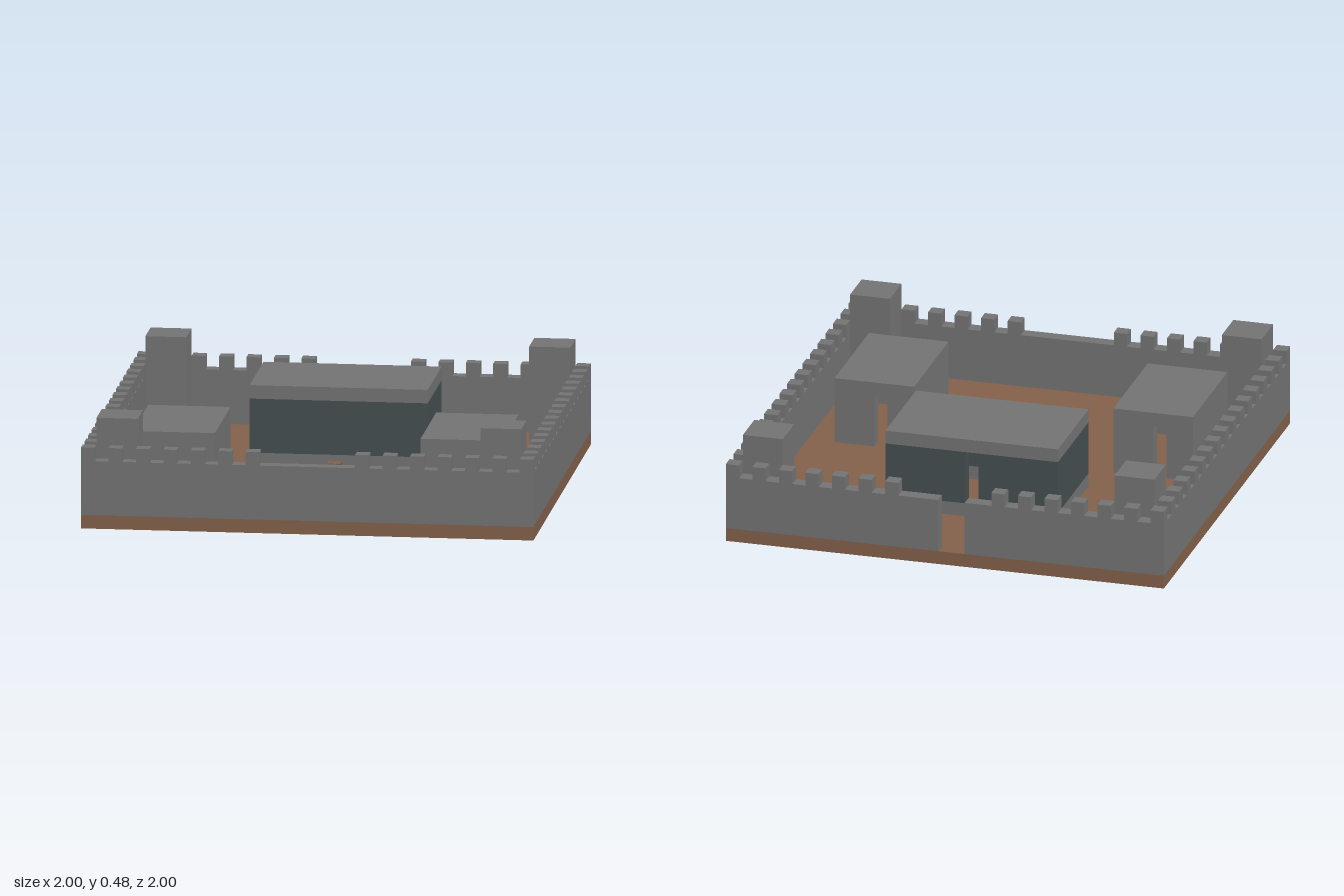
import * as THREE from 'three';

const N = 33;        // blocks along each side
const U = 2 / N;     // size of one block

function material(name, color) {
  const m = new THREE.MeshStandardMaterial({ color });
  m.name = name;
  return m;
}

export function createModel() {
  const stone = material('stone grey', 0x737373);
  const earth = material('earth brown', 0x82604a);
  const glass = material('dark glass', 0x454e4f);

  const model = new THREE.Group();
  model.name = 'walledFort';

  // Box between block coordinates; x and z count from the left back corner
  function block(parent, name, mat, [x0, x1], [y0, y1], [z0, z1]) {
    const geo = new THREE.BoxGeometry((x1 - x0) * U, (y1 - y0) * U, (z1 - z0) * U);
    const mesh = new THREE.Mesh(geo, mat);
    mesh.name = name;
    mesh.position.set(((x0 + x1) / 2) * U - 1, ((y0 + y1) / 2) * U, ((z0 + z1) / 2) * U - 1);
    parent.add(mesh);
  }

  function group(name) {
    const g = new THREE.Group();
    g.name = name;
    model.add(g);
    return g;
  }

  // Four one-block-thick walls with a doorway in the back wall
  function ring(parent, name, mat, [x0, x1], y, [z0, z1], door) {
    block(parent, name, mat, [x0, door], y, [z0, z0 + 1]);
    block(parent, name, mat, [door + 1, x1], y, [z0, z0 + 1]);
    block(parent, name, mat, [x0, x1], y, [z1 - 1, z1]);
    block(parent, name, mat, [x0, x0 + 1], y, [z0 + 1, z1 - 1]);
    block(parent, name, mat, [x1 - 1, x1], y, [z0 + 1, z1 - 1]);
  }

  // Ground slab
  block(model, 'ground', earth, [0, N], [0, 1], [0, N]);

  // Outer walls, with a gate in the back one
  const walls = group('outerWalls');
  const wallY = [1, 5];
  block(walls, 'frontWall', stone, [0, N], wallY, [N - 1, N]);
  block(walls, 'backWall', stone, [0, 15], wallY, [0, 1]);
  block(walls, 'backWall', stone, [17, N], wallY, [0, 1]);
  block(walls, 'rightWall', stone, [0, 1], wallY, [1, N - 1]);
  block(walls, 'leftWall', stone, [N - 1, N], wallY, [1, N - 1]);

  // Merlons on every second block, left out mid-way along front and back
  const merlons = group('merlons');
  for (let i = 0; i < N; i += 2) {
    for (const side of [0, N - 1]) {
      if (i < 13 || i > 19) block(merlons, 'merlon', stone, [i, i + 1], [5, 6], [side, side + 1]);
      if (i > 0 && i < N - 1) block(merlons, 'merlon', stone, [side, side + 1], [5, 6], [i, i + 1]);
    }
  }

  // Corner towers
  const towers = group('cornerTowers');
  for (const x of [1, N - 4]) {
    for (const z of [1, N - 4]) block(towers, 'tower', stone, [x, x + 3], [1, 8], [z, z + 3]);
  }

  // Great hall: stone footing, glass walls, flat roof
  const hall = group('greatHall');
  const hallX = [10, 23], hallZ = [7, 15];
  ring(hall, 'hallFooting', stone, hallX, [1, 2], hallZ, 16);
  ring(hall, 'hallGlass', glass, hallX, [2, 6], hallZ, 16);
  block(hall, 'hallRoof', stone, hallX, [6, 7], hallZ);

  // Two side houses with doors towards the back
  for (const x of [3, 24]) {
    const house = group(x === 3 ? 'rightHouse' : 'leftHouse');
    ring(house, 'houseWall', stone, [x, x + 6], [1, 5], [18, 27], x + 2);
    block(house, 'houseRoof', stone, [x, x + 6], [5, 6], [18, 27]);
  }

  // Crates in the courtyard
  const crates = group('crates');
  for (const [x, z] of [[16, 17], [15, 23], [17, 23]]) {
    block(crates, 'crate', earth, [x, x + 1], [1, 2], [z, z + 1]);
  }

  return model;
}
